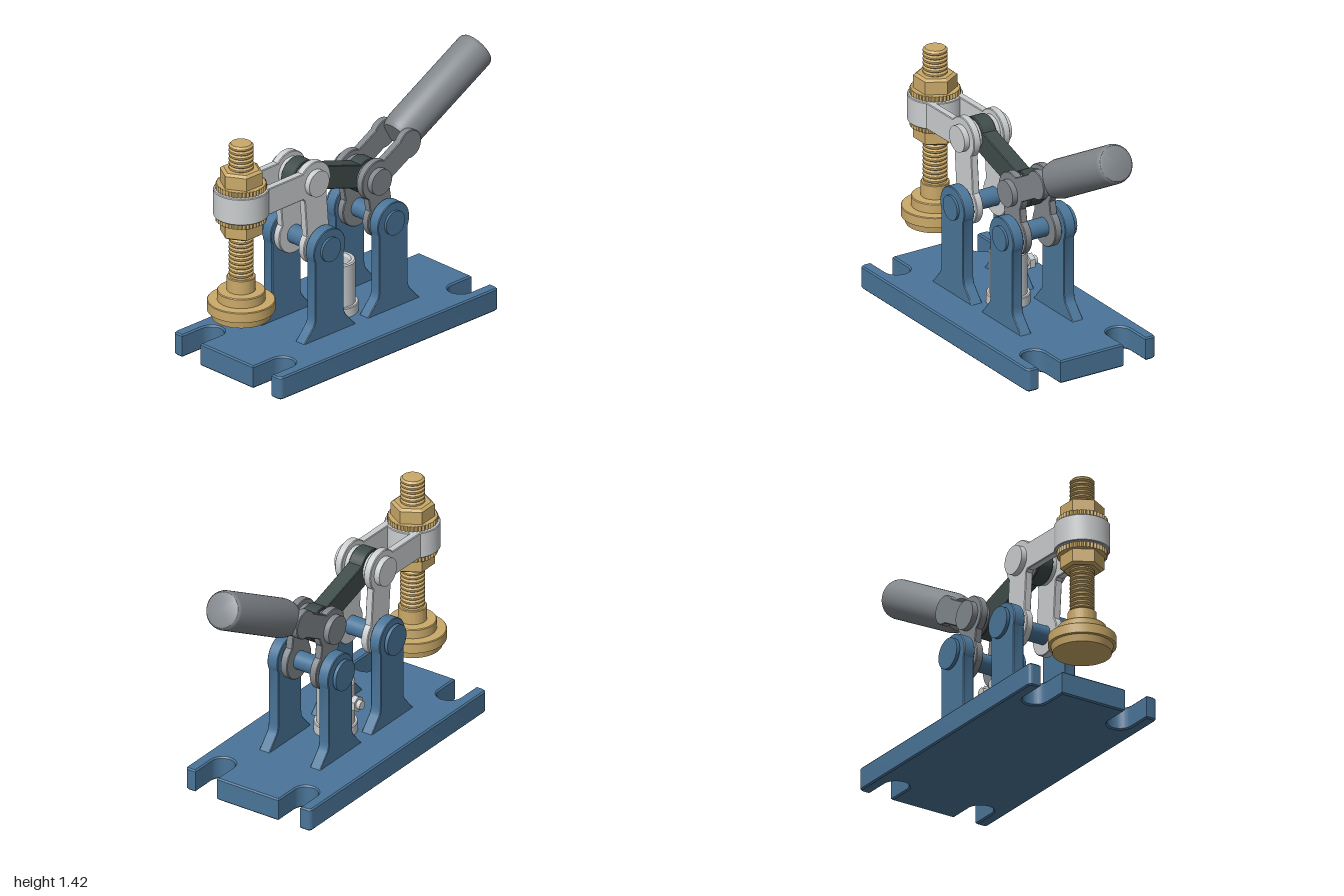
import * as THREE from 'three';
import { toCreasedNormals } from 'three/addons/utils/BufferGeometryUtils.js';

const paint = (name, color) => {
  const m = new THREE.MeshStandardMaterial({ color });
  m.name = name;
  return m;
};

export function createModel() {
  const blue = paint('blue steel', 0x4a7599);
  const silver = paint('light grey metal', 0xcbced0);
  const grey = paint('medium grey metal', 0x82878c);
  const dark = paint('dark link', 0x3f4c4a);
  const brass = paint('brass', 0xcbaa69);

  const model = new THREE.Group();
  const add = (name, geo, mat, x = 0, y = 0, z = 0, parent = model) => {
    const mesh = new THREE.Mesh(geo, mat);
    mesh.name = name;
    mesh.position.set(x, y, z);
    parent.add(mesh);
    return mesh;
  };

  // Revolved profile, bottom to top, with crisp edges
  const lathe = (pts, seg = 48) => toCreasedNormals(
    new THREE.LatheGeometry(pts.map(([r, y]) => new THREE.Vector2(r, y)), seg), 0.5);

  // Flat plate spanning z0..z1
  const plate = (shape, z0, z1, bevel = 0.004) => {
    const g = new THREE.ExtrudeGeometry(shape, {
      depth: z1 - z0 - 2 * bevel, bevelThickness: bevel, bevelSize: bevel,
      bevelOffset: -bevel, bevelSegments: 1, curveSegments: 24,
    });
    g.translate(0, 0, z0 + bevel);
    return toCreasedNormals(g, 0.5);
  };

  // Bar with a round eye at each end and a straight web of half width w
  const barShape = (a, ra, b, rb, w) => {
    const t = Math.atan2(b[1] - a[1], b[0] - a[0]);
    const sa = Math.asin(w / ra), sb = Math.asin(w / rb);
    const s = new THREE.Shape();
    s.absarc(a[0], a[1], ra, t + sa, t + 2 * Math.PI - sa, false);
    s.absarc(b[0], b[1], rb, t - Math.PI + sb, t + Math.PI - sb, false);
    s.closePath();
    return s;
  };
  const bothSides = (name, shape, z0, z1, mat) => {
    add(name + 'Front', plate(shape, z0, z1), mat);
    add(name + 'Back', plate(shape, -z1, -z0), mat);
  };

  // Cylinder along z, from z0 to z1
  const rodZ = (name, r, x, y, z0, z1, mat, seg = 40) => {
    const g = new THREE.CylinderGeometry(r, r, z1 - z0, seg).rotateX(Math.PI / 2);
    return add(name, g, mat, x, y, (z0 + z1) / 2);
  };

  // Joint positions
  const armPivot = [-0.348, 0.637], elbow = [-0.378, 1.015];
  const handlePivot = [0.13, 0.637], knee = [0.09, 0.87];
  const spindleX = -0.817, armY = 1.01;

  // Base with four open slots
  const L = -0.925, R = 0.71, H = 0.412, c = 0.03, sr = 0.07, sz = 0.273;
  const base = new THREE.Shape();
  base.moveTo(L + c, -H);
  base.lineTo(R - c, -H);
  base.quadraticCurveTo(R, -H, R, -H + c);
  for (const z of [-sz, sz]) {
    base.lineTo(R, z - sr);
    base.absarc(0.56, z, sr, -Math.PI / 2, Math.PI / 2, true);
    base.lineTo(R, z + sr);
  }
  base.lineTo(R, H - c);
  base.quadraticCurveTo(R, H, R - c, H);
  base.lineTo(L + c, H);
  base.quadraticCurveTo(L, H, L, H - c);
  for (const z of [sz, -sz]) {
    base.lineTo(L, z + sr);
    base.absarc(-0.775, z, sr, Math.PI / 2, -Math.PI / 2, true);
    base.lineTo(L, z - sr);
  }
  base.lineTo(L, -H + c);
  base.quadraticCurveTo(L, -H, L + c, -H);
  add('base', plate(base, 0, 0.132, 0.008).rotateX(-Math.PI / 2), blue);

  // Flared upright pairs and their pivot pins
  for (const [name, p] of [['armUpright', armPivot], ['handleUpright', handlePivot]]) {
    const [x, y] = p, w = 0.107, r = 0.118, a = Math.acos(w / r);
    const s = new THREE.Shape();
    s.moveTo(x - 0.197, 0.125);
    s.lineTo(x + 0.197, 0.125);
    s.lineTo(x + 0.128, 0.205);
    s.quadraticCurveTo(x + w, 0.225, x + w, 0.265);
    s.absarc(x, y, r, -a, Math.PI + a, false);
    s.lineTo(x - w, 0.265);
    s.quadraticCurveTo(x - w, 0.225, x - 0.128, 0.205);
    s.closePath();
    bothSides(name, s, 0.133, 0.2, blue);
    rodZ(name + 'Pin', 0.053, x, y, -0.212, 0.2, blue);
    rodZ(name + 'PinTip', 0.07, x, y, 0.19, 0.214, blue);
    rodZ(name + 'PinHead', 0.088, x, y, -0.23, -0.21, blue);
  }

  // Clamp arm: bent pair of plates ending in a spindle ring
  bothSides('armLeg', barShape(elbow, 0.118, armPivot, 0.113, 0.082), 0.073, 0.117, silver);
  bothSides('armReach', barShape(elbow, 0.118, [spindleX, armY], 0.077, 0.0765), 0.073, 0.117, silver);
  add('spindleRing', lathe([[0.072, -0.077], [0.146, -0.077], [0.15, -0.073],
    [0.15, 0.073], [0.146, 0.077], [0.072, 0.077], [0.072, -0.077]], 64), silver, spindleX, armY, 0);

  // Handle plates
  const tilt = Math.atan2(1.337 - knee[1], 0.95 - knee[0]);
  const along = (d) => [knee[0] + d * Math.cos(tilt), knee[1] + d * Math.sin(tilt)];
  bothSides('handleLeg', barShape(knee, 0.115, handlePivot, 0.113, 0.08), 0.073, 0.117, grey);
  bothSides('handleArm', barShape(knee, 0.115, along(0.28), 0.082, 0.068), 0.073, 0.117, grey);

  // Rounded grip
  const gripLen = Math.hypot(0.95 - knee[0], 1.337 - knee[1]);
  const grip = add('grip', lathe([[0, 0.29], [0.088, 0.29], [0.1, 0.31], [0.109, 0.36],
    [0.109, gripLen - 0.03], [0.106, gripLen - 0.016], [0.098, gripLen - 0.005],
    [0.085, gripLen], [0, gripLen]]), grey, knee[0], knee[1], 0);
  grip.rotation.z = tilt - Math.PI / 2;

  // Dark link between elbow and knee
  add('link', plate(barShape(elbow, 0.1, knee, 0.1, 0.066), -0.045, 0.045), dark);

  // Link pins with bosses
  for (const [name, p, mat] of [['elbowPin', elbow, silver], ['kneePin', knee, grey]]) {
    rodZ(name, 0.058, p[0], p[1], -0.14, 0.14, mat);
    rodZ(name + 'Tip', 0.075, p[0], p[1], 0.11, 0.15, mat);
    rodZ(name + 'Head', 0.082, p[0], p[1], -0.15, -0.11, mat);
    for (const s of [-1, 1]) {
      rodZ(name + 'Spacer', 0.088, p[0], p[1], s * 0.06 - 0.014, s * 0.06 + 0.014, mat);
    }
  }

  // Spindle with thread, nuts, serrated washers and pressure foot
  const spindle = new THREE.Group();
  spindle.name = 'spindle';
  spindle.position.x = spindleX;
  model.add(spindle);
  const thread = [[0, 0.55]];
  for (let y = 0.55; y < 1.335; y += 0.025) thread.push([0.056, y], [0.067, y + 0.008], [0.067, y + 0.017]);
  thread.push([0.056, 1.353], [0, 1.355]);
  add('threadedRod', lathe(thread, 32), brass, 0, 0, 0, spindle);

  const teeth = new THREE.Shape();
  for (let i = 0; i < 80; i++) {
    const a = i * Math.PI / 40, r = i % 2 ? 0.129 : 0.138;
    teeth[i ? 'lineTo' : 'moveTo'](r * Math.cos(a), r * Math.sin(a));
  }
  teeth.closePath();
  const washerGeo = plate(teeth, -0.015, 0.015, 0).rotateX(Math.PI / 2);
  const nutGeo = new THREE.CylinderGeometry(0.119, 0.119, 0.075, 6).rotateY(Math.PI / 6);
  const nutEnd = new THREE.CylinderGeometry(0.1, 0.119, 0.012, 6).rotateY(Math.PI / 6);
  for (const s of [1, -1]) {
    add('washer', washerGeo, brass, 0, armY + s * 0.094, 0, spindle);
    const nut = new THREE.Group();
    nut.name = 'nut';
    nut.position.y = armY + s * 0.145;
    if (s < 0) nut.rotation.x = Math.PI;
    spindle.add(nut);
    for (const [n, g, y] of [['nutBody', toCreasedNormals(nutGeo, 0.5), 0], ['nutChamfer', toCreasedNormals(nutEnd, 0.5), 0.0435]]) {
      const m = add(n, g, brass, 0, y, 0, nut);
      m.rotation.y = Math.PI / 3 + Math.PI / 6 - Math.PI / 6 - Math.PI / 3;
    }
  }
  add('foot', lathe([[0, 0.33], [0.16, 0.33], [0.168, 0.37], [0.184, 0.372], [0.184, 0.426],
    [0.18, 0.43], [0.13, 0.432], [0.13, 0.482], [0.126, 0.487], [0.078, 0.489],
    [0.078, 0.566], [0.074, 0.57], [0, 0.57]], 64), brass, 0, 0, 0, spindle);

  // Hollow post with collar and side screw
  const postX = -0.105;
  add('post', lathe([[0, 0.13], [0.12, 0.13], [0.12, 0.183], [0.116, 0.188], [0.104, 0.188],
    [0.104, 0.428], [0.098, 0.435], [0.08, 0.435], [0.07, 0.42], [0.07, 0.3], [0, 0.3]]), silver, postX, 0, 0);
  rodZ('screwShank', 0.026, postX, 0.33, -0.175, -0.09, silver, 24);
  const hex = rodZ('screwNut', 0.046, postX, 0.33, -0.15, -0.118, silver, 6);
  hex.geometry = toCreasedNormals(hex.geometry, 0.5);

  return model;
}
